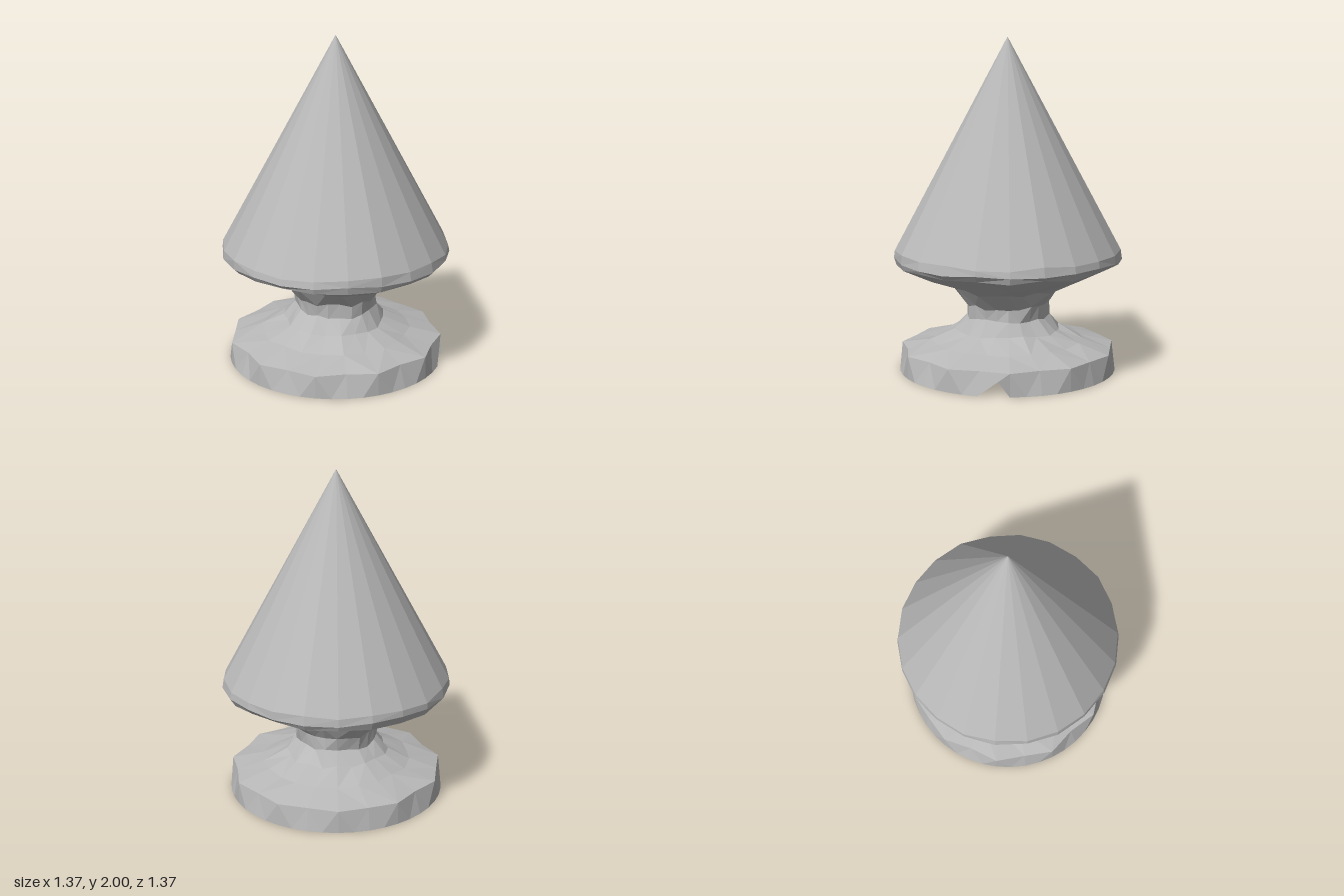
import * as THREE from 'three';

const SIDES = 22;
const START = THREE.MathUtils.degToRad(19);
const STEP = (Math.PI * 2) / SIDES;

// Small repeatable noise in -1..1
function noise(a, b) {
  const s = Math.sin(a * 12.9898 + b * 78.233) * 43758.5453;
  return (s - Math.floor(s)) * 2 - 1;
}

// Point on a circle; angle index k counts facets from the notch, turning from +z to +x
function polar(r, y, k) {
  const a = START + k * STEP;
  return new THREE.Vector3(Math.sin(a) * r, y, Math.cos(a) * r);
}

// Uneven ring of hand-carved points: radius, height, wobble of each
function ring(r, y, wobbleR, wobbleY, id) {
  return Array.from({ length: SIDES }, (_, k) =>
    polar(r + noise(k, id) * wobbleR, y + noise(k, id + 40) * wobbleY, k));
}

// Triangles between stacked rings, with the diagonals turned in an irregular way
function skin(rings, tris = []) {
  for (let j = 0; j < rings.length - 1; j++) {
    for (let k = 0; k < SIDES; k++) {
      const n = (k + 1) % SIDES;
      const a = rings[j][k], b = rings[j][n], c = rings[j + 1][n], d = rings[j + 1][k];
      if (noise(k, j + 90) > 0) tris.push(a, b, d, b, c, d);
      else tris.push(a, b, c, a, c, d);
    }
  }
  return tris;
}

function meshOf(name, points, material) {
  const geometry = new THREE.BufferGeometry().setFromPoints(points);
  geometry.computeVertexNormals();
  const mesh = new THREE.Mesh(geometry, material);
  mesh.name = name;
  return mesh;
}

export function createModel() {
  const stone = new THREE.MeshStandardMaterial({ color: 0xb8b8b8, flatShading: true });
  stone.name = 'grey stone';
  const group = new THREE.Group();
  group.name = 'finial';

  // Rings shared by neighbouring parts
  const rim = Array.from({ length: SIDES }, (_, k) =>
    polar(k % 2 ? 0.65 : 0.618 + noise(k, 3) * 0.015, 0.135, k));
  const shoulder = ring(0.665, 0.655, 0.012, 0.012, 8);
  const foot = Array.from({ length: SIDES * 2 }, (_, i) => polar(0.653, 0, i / 2));

  // Base disc with a wedge chipped out of the first facet
  const base = [];
  const centre = new THREE.Vector3();
  const chip = polar(0.34, 0, 0.32);
  for (let k = 0; k < SIDES; k++) {
    const t0 = rim[k], t1 = rim[(k + 1) % SIDES];
    const b0 = foot[2 * k], b1 = foot[2 * k + 1], b2 = foot[(2 * k + 2) % foot.length];
    if (k === 0) {
      base.push(b0, t1, t0, b0, chip, t1, b2, t1, chip);
      base.push(centre, chip, b0, centre, b2, chip);
    } else {
      base.push(b0, b1, t0, b1, t1, t0, b1, b2, t1);
      base.push(centre, b1, b0, centre, b2, b1);
    }
  }
  group.add(meshOf('base', base, stone));

  // Waisted neck flaring out to the shoulder
  const neck = skin([
    rim,
    ring(0.45, 0.185, 0.02, 0.008, 1),
    ring(0.31, 0.25, 0.02, 0.012, 2),
    ring(0.245, 0.33, 0.012, 0.015, 4),
    ring(0.248, 0.41, 0.01, 0.015, 5),
    ring(0.32, 0.505, 0.015, 0.012, 6),
    ring(0.48, 0.575, 0.015, 0.008, 7),
    shoulder,
  ]);
  group.add(meshOf('neck', neck, stone));

  // Rounded shoulder edge and pointed spire
  const eave = ring(0.682, 0.735, 0.004, 0.012, 9);
  const bulge = ring(0.687, 0.69, 0.004, 0.01, 10);
  group.add(meshOf('shoulderEdge', skin([shoulder, bulge, eave]), stone));

  const spire = [];
  const tip = new THREE.Vector3(0, 2, 0);
  for (let k = 0; k < SIDES; k++) spire.push(eave[k], eave[(k + 1) % SIDES], tip);
  group.add(meshOf('spire', spire, stone));

  return group;
}
